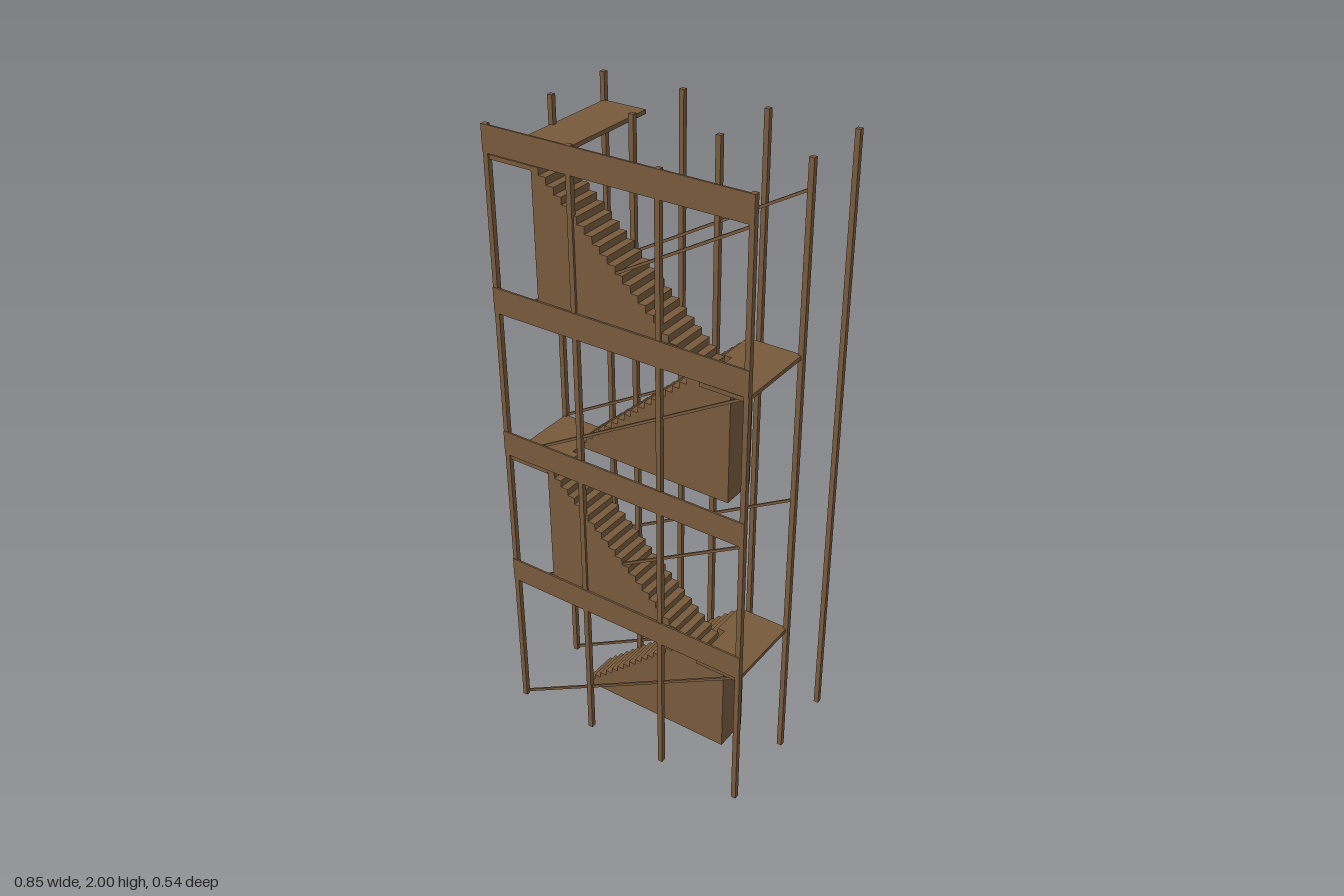
import * as THREE from 'three';

export function createModel() {
  const model = new THREE.Group();
  model.name = 'scaffoldStairTower';
  const brown = new THREE.MeshStandardMaterial({ color: 0x775a3c });
  brown.name = 'timberBrown';

  const STOREY = 0.4765, BASE = 0.0085;
  const END = 0.415, TURN = 0.267;       // outer posts, and inner edge of the landings
  const MID_Z = -0.02, FRONT_Z = 0.258, BACK_Z = -0.262;

  // Box given by its min and max corners
  function box(name, parent, x0, x1, y0, y1, z0, z1) {
    const mesh = new THREE.Mesh(new THREE.BoxGeometry(x1 - x0, y1 - y0, z1 - z0), brown);
    mesh.position.set((x0 + x1) / 2, (y0 + y1) / 2, (z0 + z1) / 2);
    mesh.name = name;
    parent.add(mesh);
    return mesh;
  }

  // Three rows of four full-height posts
  const posts = new THREE.Group();
  posts.name = 'posts';
  for (const z of [FRONT_Z, MID_Z, BACK_Z])
    for (const x of [-END, -0.139, 0.139, END])
      box('post', posts, x - 0.008, x + 0.008, 0, 2, z - 0.008, z + 0.008);
  model.add(posts);

  // Solid flight made of one block per step; dir is the climbing direction in x
  function flight(base, dir, z0, z1) {
    const group = new THREE.Group();
    group.name = 'stairFlight';
    const steps = 22, run = (2 * TURN) / steps, rise = STOREY / steps;
    for (let i = 0; i < steps; i++) {
      const a = dir * (-TURN + i * run), b = dir * (-TURN + (i + 1) * run);
      box('step', group, Math.min(a, b), Math.max(a, b), base, base + (i + 1) * rise, z0, z1);
    }
    model.add(group);
  }

  // Diagonal rod rising towards +x across one storey
  function brace(base, z) {
    const dx = 2 * END, length = Math.hypot(dx, STOREY);
    const rod = new THREE.Mesh(new THREE.BoxGeometry(length, 0.008, 0.007), brown);
    rod.name = 'diagonalBrace';
    rod.position.set(0, base + STOREY / 2, z);
    rod.rotation.z = Math.atan2(STOREY, dx);
    model.add(rod);
  }

  for (let i = 0; i < 4; i++) {
    const base = BASE + i * STOREY, top = base + STOREY;
    const climbsRight = i % 2 === 0;

    // Flights alternate between the inner and the front lane
    if (climbsRight) flight(base, 1, -0.017, 0.102);
    else flight(base, -1, 0.137, 0.259);

    // Landing at the head of the flight; the top one reaches the back posts
    const z0 = i === 3 ? BACK_Z : MID_Z;
    if (climbsRight) box('landing', model, TURN, 0.416, top - 0.013, top, z0, 0.26);
    else box('landing', model, -0.416, -TURN, top - 0.013, top, z0, 0.26);

    // Guard board along the front
    box('guardBoard', model, -0.423, 0.423, top + 0.006, Math.min(top + 0.086, 2), 0.262, 0.268);

    brace(base, FRONT_Z - 0.005);
    brace(base, MID_Z - 0.002);
  }
  return model;
}
